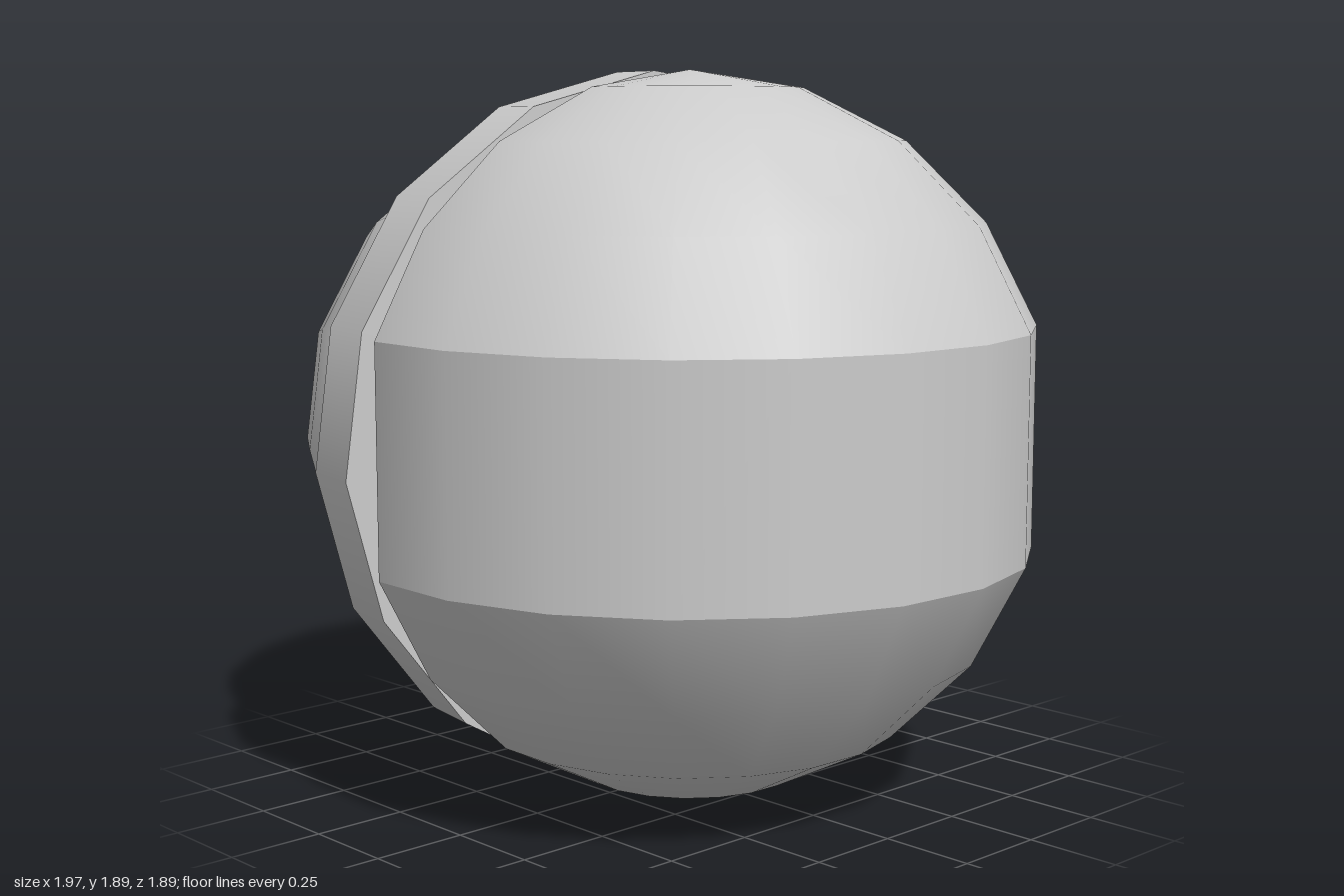
import * as THREE from 'three';

const material = new THREE.MeshStandardMaterial({ color: 0xcccccc });
const thinMaterial = new THREE.MeshStandardMaterial({ color: 0xcccccc, side: THREE.DoubleSide });
const flatMaterial = new THREE.MeshStandardMaterial({ color: 0xcccccc, flatShading: true });

const R = 0.945;              // radius of the large dome
const RIM = 0.08;             // where the large dome starts along the axis
const STEP = Math.PI / 10;    // its facets are 18 degrees wide
const TWIST = 0.06;           // slight turn of the band and the hollow dome

function add(parent, name, geometry, mat) {
  const mesh = new THREE.Mesh(geometry, mat);
  mesh.name = name;
  parent.add(mesh);
  return mesh;
}

// Half of a polar cap between latitudes a and b, in steps of one facet
function halfCap(a, b) {
  const points = [];
  for (let i = a; i <= b; i++) {
    points.push(new THREE.Vector2(Math.max(0, R * Math.cos(i * STEP)), R * Math.sin(i * STEP)));
  }
  return new THREE.LatheGeometry(points, 10, 0, Math.PI);
}

// 20-sided frustum along x whose front and back corners are pressed into upright flats
function flattenedFrustum(rStart, rEnd, length) {
  const g = new THREE.CylinderGeometry(rEnd, rStart, length, 20).rotateZ(-Math.PI / 2);
  const p = g.attributes.position;
  for (let i = 0; i < p.count; i++) {
    if (Math.abs(p.getY(i)) < 0.01) p.setZ(i, p.getZ(i) * Math.cos(STEP));
  }
  g.computeVertexNormals();
  return g;
}

export function createModel() {
  const model = new THREE.Group();
  model.name = 'splitBall';

  const body = new THREE.Group();
  body.name = 'body';
  body.position.set(-0.003, R, 0.017);
  body.rotation.y = -0.188;
  model.add(body);

  // Large dome: two rounded caps around a straight-sided strip
  const dome = new THREE.Group();
  dome.name = 'largeDome';
  dome.position.x = RIM;
  body.add(dome);
  add(dome, 'upperCap', halfCap(1, 5), material);
  add(dome, 'lowerCap', halfCap(-5, -1), material);
  const stripRadius = R * Math.cos(STEP);
  add(dome, 'middleStrip', new THREE.CylinderGeometry(
    stripRadius, stripRadius, 2 * R * Math.sin(STEP), 10, 1, true, 0, Math.PI), material);

  // Tapered neck between the large dome and the band
  const neck = add(body, 'neck', flattenedFrustum(0.885, R, RIM), flatMaterial);
  neck.position.x = RIM / 2;

  // Raised band, whose flat face closes the hollow dome
  const band = add(body, 'band', new THREE.CylinderGeometry(R, R, 0.183, 16).rotateZ(-Math.PI / 2), material);
  band.position.x = -0.0935;
  band.rotation.x = TWIST;

  // Hollow dome with a round opening at its end
  const profile = [
    [0.505, -0.917], [0.64, -0.82], [0.75, -0.69], [0.825, -0.5], [0.865, -0.34], [0.873, -0.18],
  ].map(([r, u]) => new THREE.Vector2(r, u));
  const hollow = add(body, 'hollowDome', new THREE.LatheGeometry(profile, 16).rotateZ(-Math.PI / 2), thinMaterial);
  hollow.rotation.x = TWIST;

  return model;
}
